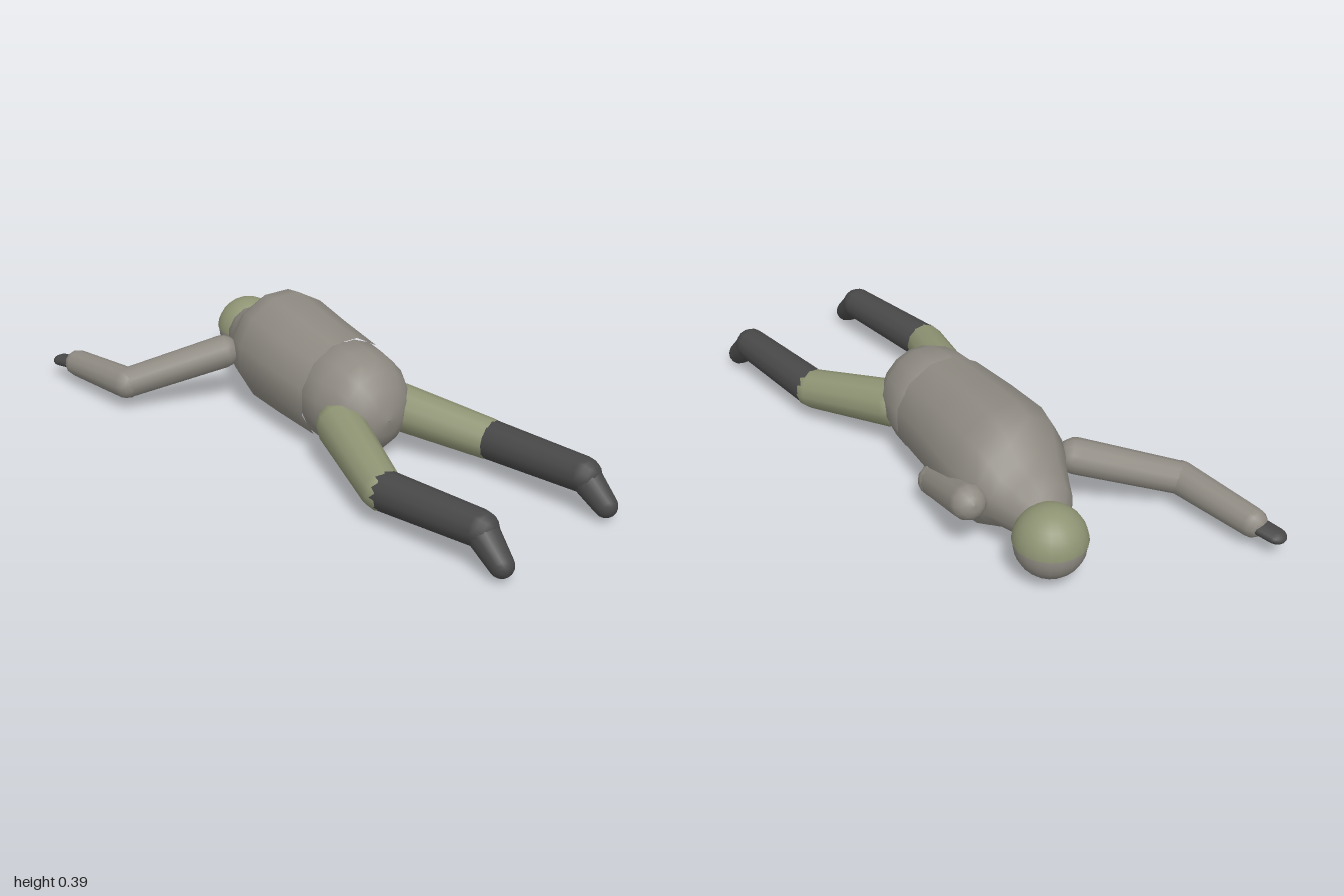
import * as THREE from 'three';

const material = (color) => new THREE.MeshStandardMaterial({ color, roughness: 0.9 });
const CLOTH = material(0x8f8b83);
const OLIVE = material(0x8f9474);
const DARK = material(0x484848);

function addMesh(parent, name, geometry, mat) {
  const mesh = new THREE.Mesh(geometry, mat);
  mesh.name = name;
  parent.add(mesh);
  return mesh;
}

// Tapered capsule running from point a (radius ra) to point b (radius rb)
function addLimb(parent, name, a, ra, b, rb, mat, flatten = 1) {
  const start = new THREE.Vector3(...a);
  const dir = new THREE.Vector3(...b).sub(start);
  const length = dir.length();
  const profile = [];
  const steps = 4;
  for (let i = 0; i <= steps; i++) {
    const t = (i / steps) * Math.PI / 2;
    profile.push(new THREE.Vector2(ra * Math.sin(t), -ra * Math.cos(t)));
  }
  for (let i = 0; i <= steps; i++) {
    const t = (i / steps) * Math.PI / 2;
    profile.push(new THREE.Vector2(rb * Math.cos(t), length + rb * Math.sin(t)));
  }
  const mesh = addMesh(parent, name, new THREE.LatheGeometry(profile, 12), mat);
  mesh.position.copy(start);
  // Local y follows the limb, local z stays as upright as possible
  const yAxis = dir.normalize();
  const xAxis = new THREE.Vector3().crossVectors(yAxis, new THREE.Vector3(0, 1, 0)).normalize();
  const zAxis = new THREE.Vector3().crossVectors(xAxis, yAxis);
  mesh.quaternion.setFromRotationMatrix(new THREE.Matrix4().makeBasis(xAxis, yAxis, zAxis));
  mesh.scale.z = flatten;
  return mesh;
}

// Closed skin through elliptical rings [z, centreX, centreY, radiusX, radiusY], front to back
function loft(rings, sides) {
  const positions = [];
  const index = [];
  for (const [z, cx, cy, rx, ry] of rings) {
    for (let i = 0; i < sides; i++) {
      const a = ((i + 0.5) / sides) * Math.PI * 2;
      positions.push(cx + rx * Math.cos(a), cy + ry * Math.sin(a), z);
    }
  }
  for (let r = 0; r < rings.length - 1; r++) {
    for (let i = 0; i < sides; i++) {
      const p0 = r * sides + i;
      const p1 = r * sides + (i + 1) % sides;
      const n0 = p0 + sides;
      const n1 = p1 + sides;
      index.push(p0, n0, p1, n0, n1, p1);
    }
  }
  const geometry = new THREE.BufferGeometry();
  geometry.setAttribute('position', new THREE.Float32BufferAttribute(positions, 3));
  geometry.setIndex(index);
  geometry.computeVertexNormals();
  return geometry;
}

export function createModel() {
  const figure = new THREE.Group();
  figure.name = 'proneFigure';

  // Chest and shoulders, narrowing to the neck
  addMesh(figure, 'torso', loft([
    [0.02, 0.105, 0.188, 0.178, 0.178],
    [-0.18, 0.115, 0.195, 0.19, 0.19],
    [-0.35, 0.13, 0.2, 0.2, 0.2],
    [-0.42, 0.137, 0.2, 0.185, 0.188],
    [-0.47, 0.142, 0.197, 0.165, 0.155],
    [-0.51, 0.145, 0.188, 0.143, 0.118],
    [-0.56, 0.147, 0.178, 0.118, 0.105],
    [-0.61, 0.15, 0.172, 0.095, 0.09],
    [-0.65, 0.16, 0.165, 0.065, 0.065],
    [-0.67, 0.165, 0.16, 0.002, 0.002],
  ], 12), CLOTH);

  // Rounded hips
  addMesh(figure, 'hips', loft([
    [0.265, 0.095, 0.175, 0.002, 0.002],
    [0.257, 0.095, 0.175, 0.055, 0.055],
    [0.235, 0.096, 0.177, 0.1, 0.1],
    [0.2, 0.097, 0.18, 0.135, 0.138],
    [0.15, 0.1, 0.183, 0.158, 0.16],
    [0.09, 0.102, 0.185, 0.17, 0.17],
    [0.02, 0.105, 0.187, 0.175, 0.174],
    [-0.04, 0.105, 0.187, 0.14, 0.14],
  ], 16), CLOTH);

  // Head with a half-shell of hair
  const head = new THREE.Group();
  head.name = 'head';
  head.position.set(0.195, 0.145, -0.69);
  figure.add(head);
  addMesh(head, 'skull', new THREE.SphereGeometry(0.11, 20, 14), CLOTH);
  const hairMat = OLIVE.clone();
  hairMat.side = THREE.DoubleSide;
  addMesh(head, 'hair', new THREE.SphereGeometry(0.113, 20, 8, 0, Math.PI * 2, 0, Math.PI * 0.48), hairMat);

  // Legs: bare thigh, dark shin, pointed foot
  const legs = [
    { side: 'left', hip: [0.21, 0.158, 0.17], knee: [0.35, 0.115, 0.45], ankle: [0.405, 0.13, 0.81], toe: [0.42, 0.057, 0.895] },
    { side: 'right', hip: [-0.025, 0.158, 0.17], knee: [-0.125, 0.115, 0.51], ankle: [-0.055, 0.13, 0.865], toe: [-0.055, 0.057, 0.96] },
  ];
  for (const { side, hip, knee, ankle, toe } of legs) {
    const leg = new THREE.Group();
    leg.name = side + 'Leg';
    figure.add(leg);
    addLimb(leg, 'thigh', hip, 0.078, knee, 0.066, OLIVE);
    addLimb(leg, 'shin', knee, 0.064, ankle, 0.056, DARK);
    addLimb(leg, 'foot', ankle, 0.052, toe, 0.038, DARK);
  }

  // Right arm reaching forward past the head, left arm tucked under the chest
  const arms = [
    { side: 'right', shoulder: [-0.07, 0.2, -0.45], elbow: [-0.36, 0.1, -0.61], wrist: [-0.405, 0.085, -0.885], tip: [-0.428, 0.075, -0.965] },
    { side: 'left', shoulder: [0.33, 0.2, -0.465], elbow: [0.285, 0.108, -0.215], wrist: [0.12, 0.12, -0.38], tip: [0.1, 0.12, -0.44] },
  ];
  for (const { side, shoulder, elbow, wrist, tip } of arms) {
    const arm = new THREE.Group();
    arm.name = side + 'Arm';
    figure.add(arm);
    addLimb(arm, 'upperArm', shoulder, 0.057, elbow, 0.052, CLOTH);
    addLimb(arm, 'forearm', elbow, 0.054, wrist, 0.047, CLOTH);
    addLimb(arm, 'hand', wrist, 0.035, tip, 0.033, DARK, 0.6);
  }

  return figure;
}
